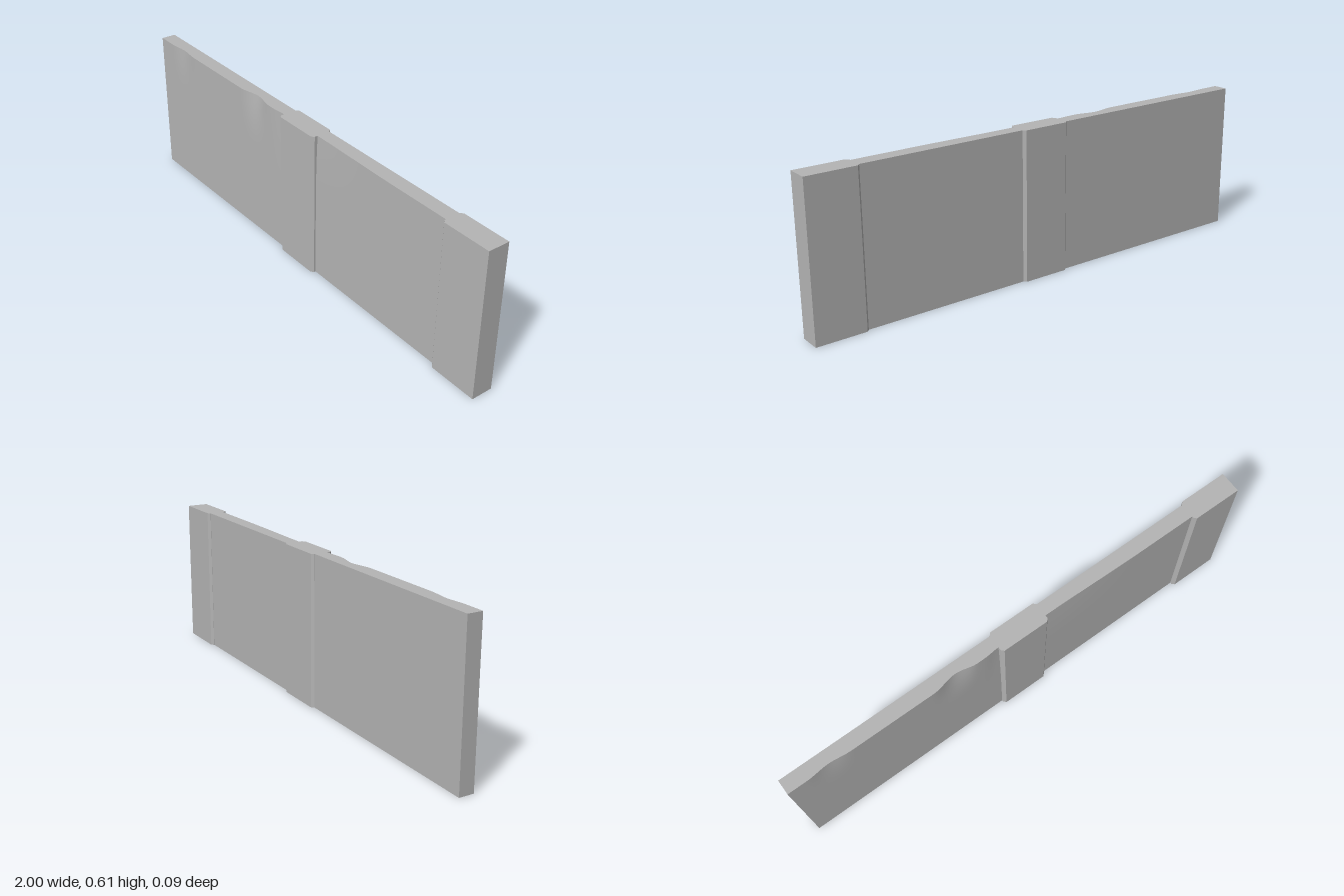
import * as THREE from 'three';

const HEIGHT = 0.61;
const BACK = -0.033, FRONT = 0.027; // panel faces
const PILLAR = 0.044;               // half depth of a pillar
const BEVEL = 0.01;

// worn hollows along the top front edge: [centre x, half width, depth, lowest y]
const DENTS = [
  [-0.83, 0.09, 0.008, 0.42],
  [-0.29, 0.1, 0.017, 0.4],
  [-0.1, 0.09, 0.007, 0.2],
  [0.1, 0.45, 0.006, 0.35],
];

function dentDepth(x, y) {
  let depth = 0;
  for (const [cx, w, d, low] of DENTS) {
    const along = Math.max(0, 1 - Math.abs(x - cx) / w);
    const up = Math.max(0, (y - low) / (HEIGHT - low));
    depth = Math.max(depth, d * THREE.MathUtils.smoothstep(along, 0, 1) * up * up);
  }
  return depth;
}

// flat slab whose front face is pushed in by the dents
function panel(name, x0, x1, material) {
  const geo = new THREE.BoxGeometry(x1 - x0, HEIGHT, FRONT - BACK, 48, 14, 1);
  geo.translate((x0 + x1) / 2, HEIGHT / 2, (FRONT + BACK) / 2);
  const p = geo.attributes.position;
  for (let i = 0; i < p.count; i++) {
    if (p.getZ(i) > 0) p.setZ(i, FRONT - dentDepth(p.getX(i), p.getY(i)));
  }
  geo.computeVertexNormals();
  const mesh = new THREE.Mesh(geo, material);
  mesh.name = name;
  return mesh;
}

// upright pillar with bevelled corners, extruded from its plan
function pillar(name, x0, x1, bevelRight, material) {
  const b = BEVEL, r = bevelRight ? BEVEL : 0, d = PILLAR;
  const plan = new THREE.Shape([
    [x0 + b, -d], [x1 - r, -d],
    ...(bevelRight ? [[x1, -d + b], [x1, d - b]] : []),
    [x1 - r, d], [x0 + b, d], [x0, d - b], [x0, -d + b],
  ].map(([x, y]) => new THREE.Vector2(x, y)));
  const geo = new THREE.ExtrudeGeometry(plan, { depth: HEIGHT, bevelEnabled: false });
  geo.rotateX(-Math.PI / 2);
  const mesh = new THREE.Mesh(geo, material);
  mesh.name = name;
  return mesh;
}

export function createModel() {
  const stone = new THREE.MeshStandardMaterial({ color: 0xb4b4b4 });
  stone.name = 'grey stone';

  const wall = new THREE.Group();
  wall.name = 'wall';
  wall.add(
    panel('rightPanel', -1, -0.105, stone),
    pillar('middlePillar', -0.105, 0.105, true, stone),
    panel('leftPanel', 0.105, 0.79, stone),
    pillar('endPillar', 0.79, 1, false, stone),
  );
  return wall;
}
